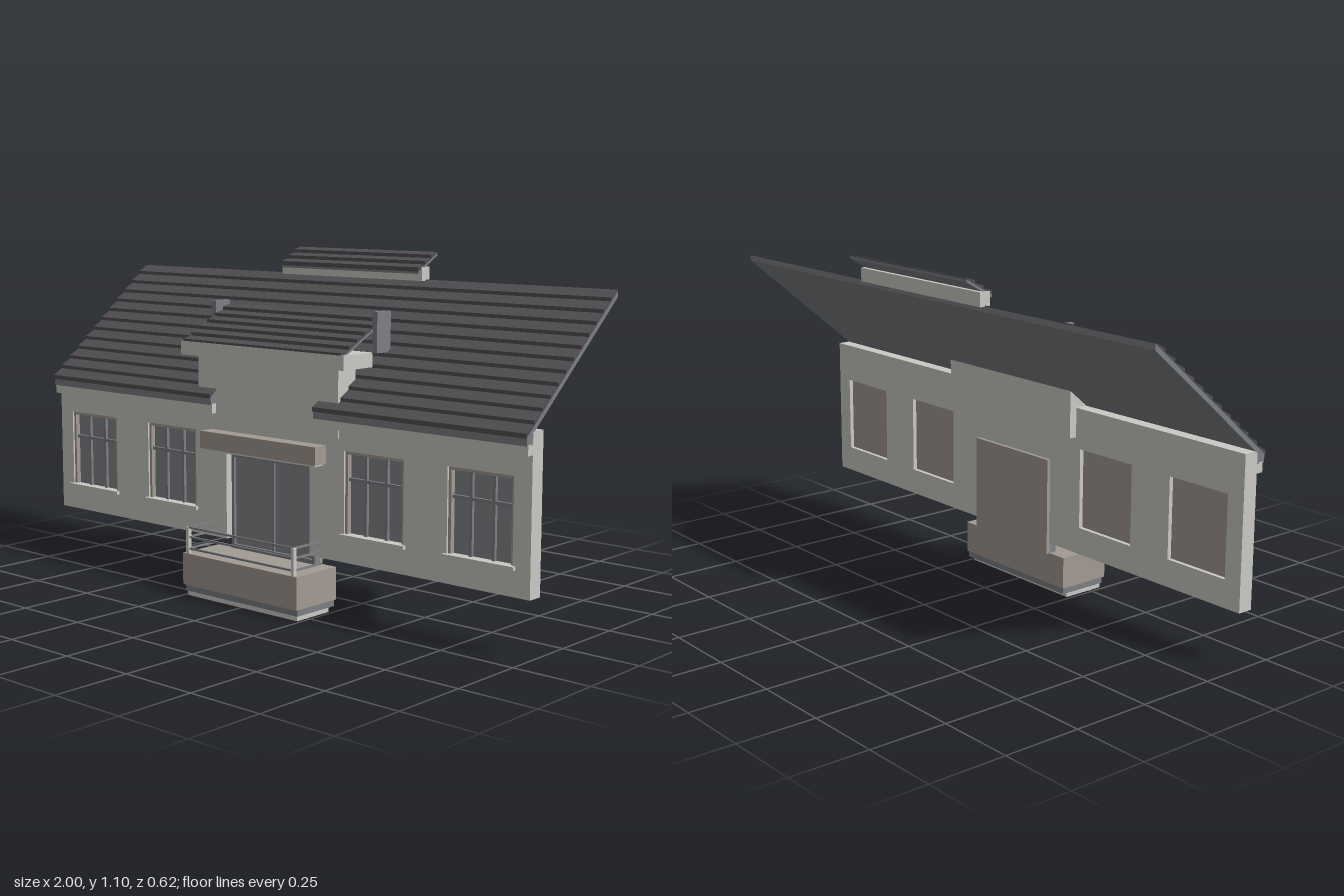
import * as THREE from 'three';

export function createModel() {
  const model = new THREE.Group();
  const mat = (name, color, side = THREE.FrontSide) => {
    const m = new THREE.MeshStandardMaterial({ color, side });
    m.name = name;
    return m;
  };
  const plaster = mat('plaster', 0xcac9c4);
  const taupe = mat('taupe stone', 0xa39b93);
  const tile = mat('roof tile', 0x524f53);
  const grey = mat('grey metal', 0x7c7f82);
  const glass = mat('glass', 0x83868a);

  const add = (name, geo, material, parent = model) => {
    const mesh = new THREE.Mesh(geo, material);
    mesh.name = name;
    parent.add(mesh);
    return mesh;
  };
  // Box given by its minimum and maximum on each axis
  const box = (name, m, x0, x1, y0, y1, z0, z1, parent) => {
    const geo = new THREE.BoxGeometry(x1 - x0, y1 - y0, z1 - z0);
    geo.translate((x0 + x1) / 2, (y0 + y1) / 2, (z0 + z1) / 2);
    return add(name, geo, m, parent);
  };
  // Extrude a (z, y) profile along x from x0 to x1
  const extrudeX = (points, x0, x1) => {
    const shape = new THREE.Shape(points.map(p => new THREE.Vector2(p[0], p[1])));
    const geo = new THREE.ExtrudeGeometry(shape, { depth: x1 - x0, bevelEnabled: false });
    geo.rotateY(-Math.PI / 2);
    geo.translate(x1, 0, 0);
    return geo;
  };
  // Roof slope: overlapping tile courses on a smooth board; (z, y) is the top surface
  const roof = (name, x0, x1, zLow, yLow, zHigh, yHigh, rows, board = 0.018) => {
    const group = new THREE.Group();
    group.name = name;
    model.add(group);
    const lip = 0.011;
    const at = (t, drop) => [zLow + (zHigh - zLow) * t, yLow + (yHigh - yLow) * t - drop];
    const saw = [at(0, lip + 0.003)];
    saw.push(at(1, lip + 0.003));
    for (let i = rows - 1; i >= 0; i--) saw.push(at((i + 1) / rows, lip), at(i / rows, 0));
    add('tileCourses', extrudeX(saw, x0, x1), tile, group);
    const low = lip + 0.003, deep = low + board;
    add('roofBoard', extrudeX([at(0.012, low), at(0.012, deep), at(1, deep), at(1, low)].reverse(), x0, x1), grey, group);
  };

  // Main wall with a door notch and four window openings
  const windows = [-0.825, -0.435, 0.435, 0.825];
  const wy0 = 0.262, wy1 = 0.52, ww = 0.115;
  const wall = new THREE.Shape();
  [[-1, 0.175], [-0.18, 0.175], [-0.18, 0.455], [0.18, 0.455], [0.18, 0.175], [1, 0.175], [1, 0.65], [-1, 0.65]]
    .forEach(([x, y], i) => (i ? wall.lineTo(x, y) : wall.moveTo(x, y)));
  wall.closePath();
  windows.forEach(x => {
    const hole = new THREE.Path();
    hole.moveTo(x - ww, wy0).lineTo(x - ww, wy1).lineTo(x + ww, wy1).lineTo(x + ww, wy0).closePath();
    wall.holes.push(hole);
  });
  const wallGeo = new THREE.ExtrudeGeometry(wall, { depth: 0.05, bevelEnabled: false });
  wallGeo.translate(0, 0, 0.124);
  add('mainWall', wallGeo, plaster);

  // Windows: backing panel, pane, frame, glazing bars, sill
  windows.forEach(x => {
    const g = new THREE.Group();
    g.name = 'window';
    model.add(g);
    box('backPanel', taupe, x - ww, x + ww, wy0, wy1, 0.138, 0.145, g);
    box('pane', glass, x - ww, x + ww, wy0, wy1, 0.145, 0.152, g);
    for (const s of [-1, 1]) {
      const e = x + s * (ww - 0.005);
      box('frameSide', taupe, e - 0.005, e + 0.005, wy0, wy1, 0.152, 0.168, g);
      const b = x + s * 0.04;
      box('glazingBar', grey, b - 0.005, b + 0.005, wy0, wy1, 0.152, 0.162, g);
    }
    box('frameTop', taupe, x - ww, x + ww, wy1 - 0.01, wy1, 0.152, 0.168, g);
    box('transom', grey, x - ww, x + ww, 0.427, 0.437, 0.152, 0.162, g);
    box('sill', plaster, x - ww - 0.01, x + ww + 0.01, 0.253, 0.264, 0.15, 0.186, g);
  });

  // Balcony door
  box('doorBackPanel', taupe, -0.18, 0.18, 0.14, 0.457, 0.112, 0.125);
  for (const s of [-1, 1]) {
    box('doorPane', glass, Math.min(0, s * 0.18), Math.max(0, s * 0.18), 0.14, 0.455, 0.125, 0.14);
    box('doorStile', grey, s * 0.175 - 0.005, s * 0.175 + 0.005, 0.14, 0.455, 0.14, 0.15);
  }
  box('doorMeeting', grey, -0.004, 0.004, 0.14, 0.455, 0.14, 0.147);
  box('doorHead', grey, -0.18, 0.18, 0.443, 0.455, 0.14, 0.15);
  box('doorThreshold', grey, -0.18, 0.18, 0.14, 0.155, 0.14, 0.15);

  // Canopy over the door
  box('canopy', taupe, -0.248, 0.248, 0.472, 0.529, 0.17, 0.225);
  box('canopySoffit', plaster, -0.235, 0.235, 0.465, 0.472, 0.17, 0.212);

  // Balcony with stepped underside
  box('balconyBody', taupe, -0.247, 0.247, 0.037, 0.141, 0.125, 0.308);
  box('balconyStep', grey, -0.243, 0.243, 0.016, 0.037, 0.13, 0.3);
  box('balconyBase', plaster, -0.238, 0.238, 0, 0.016, 0.15, 0.295);

  // Railing
  for (const s of [-1, 1]) {
    const x = s * 0.228;
    box('railingPost', plaster, x - 0.006, x + 0.006, 0.141, 0.228, 0.293, 0.306);
    for (const y of [0.157, 0.195, 0.226])
      box('sideRail', grey, x - 0.003, x + 0.003, y - 0.003, y + 0.003, 0.174, 0.295);
  }
  for (const y of [0.157, 0.195, 0.226])
    box('frontRail', grey, -0.228, 0.228, y - 0.003, y + 0.003, 0.297, 0.303);

  // Dormer wall and its cornice
  box('dormerWall', plaster, -0.3, 0.3, 0.555, 0.775, 0.098, 0.179);
  box('dormerCornice', plaster, -0.347, 0.347, 0.768, 0.813, 0.076, 0.21);

  // Eaves and main roof, left and right of the dormer
  const zE = 0.207, yE = 0.648, zR = -0.245, yR = 1.027;
  for (const s of [-1, 1]) {
    const x0 = s < 0 ? -1 : 0.22, x1 = s < 0 ? -0.22 : 1;
    box('eaveCornice', plaster, x0, x1, 0.584, 0.616, 0.17, 0.197);
    box('gutter', grey, x0, x1, 0.612, 0.642, 0.174, 0.203);
    roof('mainRoof', x0, x1, zE, yE, zR, yR, 12);
  }
  // Middle strip begins inside the dormer wall, aligned to the third course
  const t = 2 / 12;
  roof('middleRoof', -0.22, 0.22, zE + (zR - zE) * t, yE + (yR - yE) * t, zR, yR, 10);

  // Dormer roof with grey cheeks
  roof('dormerRoof', -0.337, 0.337, 0.21, 0.82, -0.008, 0.932, 6, 0.008);
  for (const s of [-1, 1])
    box('dormerCheek', grey, s * 0.344 - 0.009, s * 0.344 + 0.009, 0.809, 0.935, -0.004, 0.061);

  // Raised ridge roof on its curb
  box('ridgeCurb', plaster, -0.3, 0.3, 1.012, 1.056, -0.263, -0.225);
  roof('ridgeRoof', -0.292, 0.296, -0.211, 1.056, -0.308, 1.112, 3, 0.008);

  return model;
}
